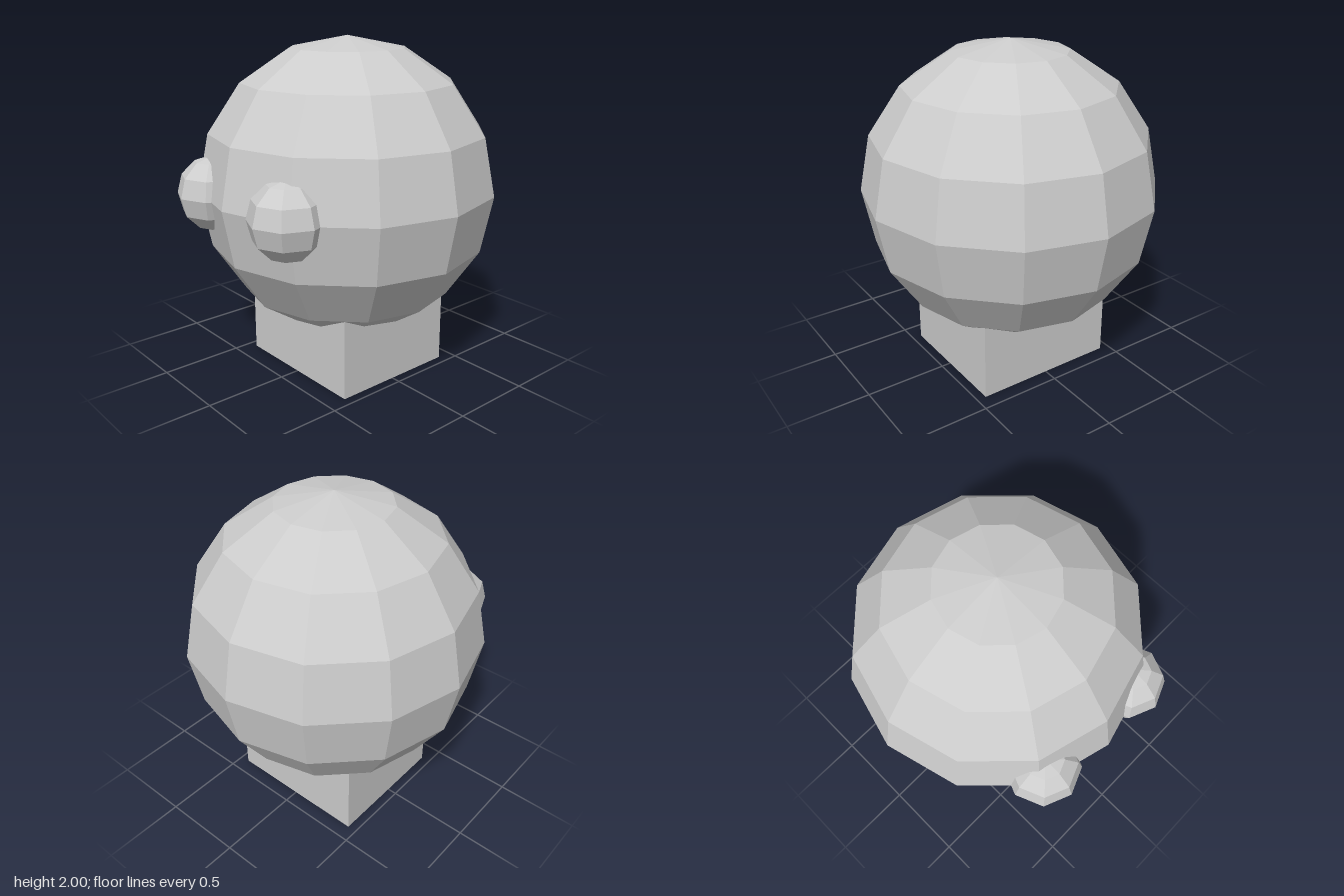
import * as THREE from 'three';

const R = 0.886;        // head radius
const HEAD_Y = 2 - R;   // head centre height
const HEAD_Z = -0.022;  // head sits slightly back so the eyes balance it

export function createModel() {
  const model = new THREE.Group();
  model.name = 'bigEyedHead';

  const grey = new THREE.MeshStandardMaterial({ color: 0xcccccc, flatShading: true });
  grey.name = 'light grey';

  const add = (name, geometry, x, y, z) => {
    const mesh = new THREE.Mesh(geometry, grey);
    mesh.name = name;
    mesh.position.set(x, y, z);
    model.add(mesh);
  };

  // Faceted round head
  add('head', new THREE.SphereGeometry(R, 12, 8), 0, HEAD_Y, HEAD_Z);

  // Block body, its top buried in the head
  const bodyHeight = 0.8;
  add('body', new THREE.BoxGeometry(R, bodyHeight, R * 0.89), 0, bodyHeight / 2, -0.016);

  // Pair of bulging eyes half sunk into the face
  for (const [name, side] of [['leftEye', 1], ['rightEye', -1]]) {
    add(name, new THREE.SphereGeometry(R / 4, 8, 6), side * R * 0.4, HEAD_Y, HEAD_Z + R * 0.8);
  }

  return model;
}
